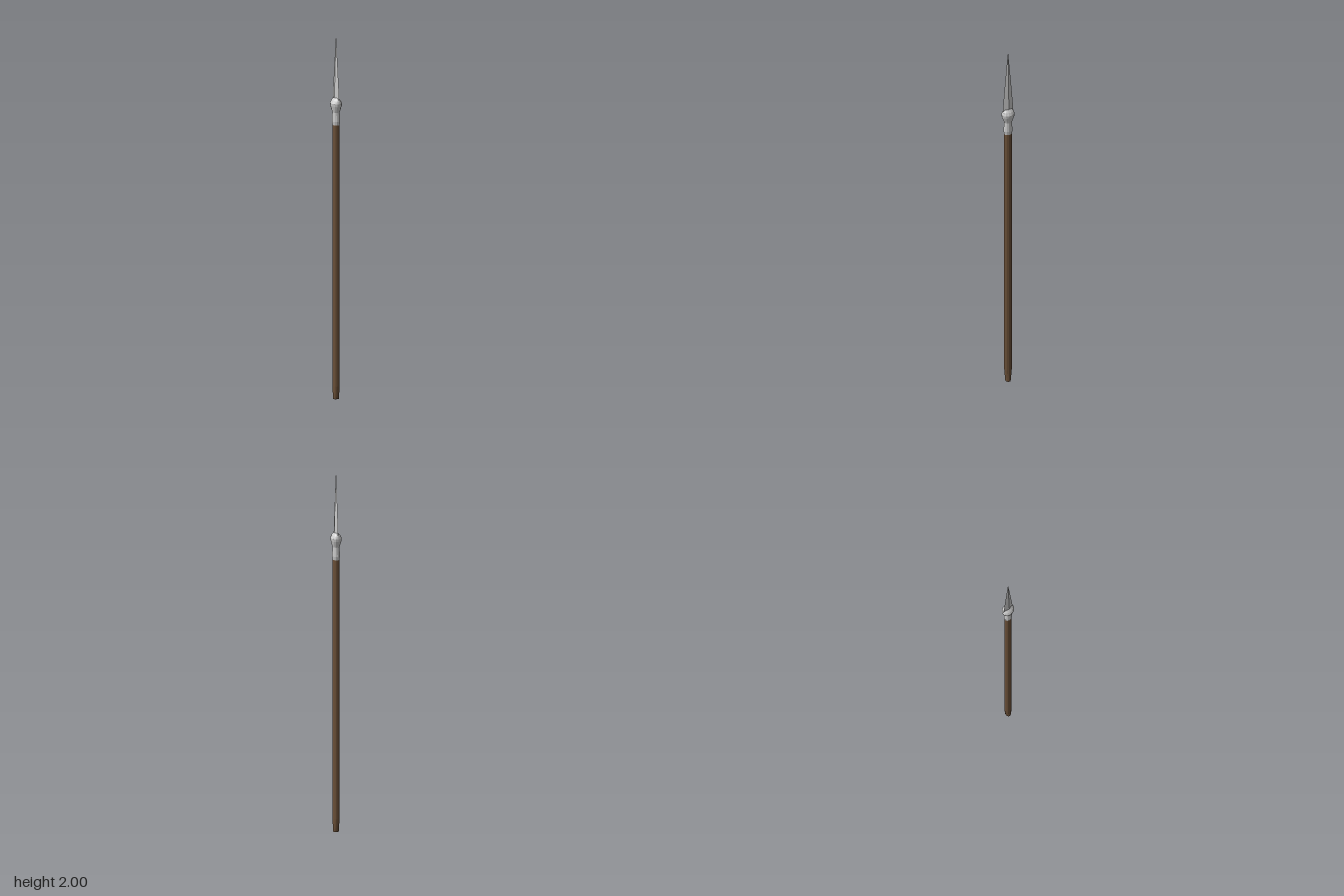
import * as THREE from 'three';

// Closed elliptical solid through rings [y, half width x, half depth z], bottom to top
function loft(name, rings, sides, color, flatShading) {
  const n = rings.length - 1;
  const geo = new THREE.CylinderGeometry(1, 1, n, sides, n);
  const p = geo.attributes.position;
  for (let i = 0; i < p.count; i++) {
    const [y, rx, rz] = rings[Math.round(p.getY(i) + n / 2)];
    p.setXYZ(i, p.getX(i) * rx, y, p.getZ(i) * rz);
  }
  geo.computeVertexNormals();
  const mesh = new THREE.Mesh(geo, new THREE.MeshStandardMaterial({ color, flatShading }));
  mesh.name = name;
  return mesh;
}

export function createModel() {
  const group = new THREE.Group();
  group.name = 'spear';
  const wood = 0x6b5038, steel = 0xcccccc;

  // Wooden pole, pinched front to back at the butt
  group.add(loft('shaft', [
    [0, 0.017, 0.014], [0.07, 0.018, 0.021], [1.52, 0.018, 0.021],
  ], 14, wood, true));

  // Socket with narrow waist and flared collar
  group.add(loft('socket', [
    [1.505, 0.018, 0.022], [1.525, 0.021, 0.025], [1.575, 0.019, 0.021],
    [1.61, 0.028, 0.035], [1.625, 0.030, 0.037], [1.64, 0.022, 0.033],
    [1.655, 0.009, 0.02],
  ], 14, steel, true));

  // Long diamond-section blade, wide front to back
  group.add(loft('blade', [
    [1.635, 0.011, 0.032], [1.66, 0.010, 0.031], [1.80, 0.0065, 0.019],
    [1.92, 0.003, 0.008], [2, 0.0003, 0.0003],
  ], 4, steel, true));

  return group;
}
